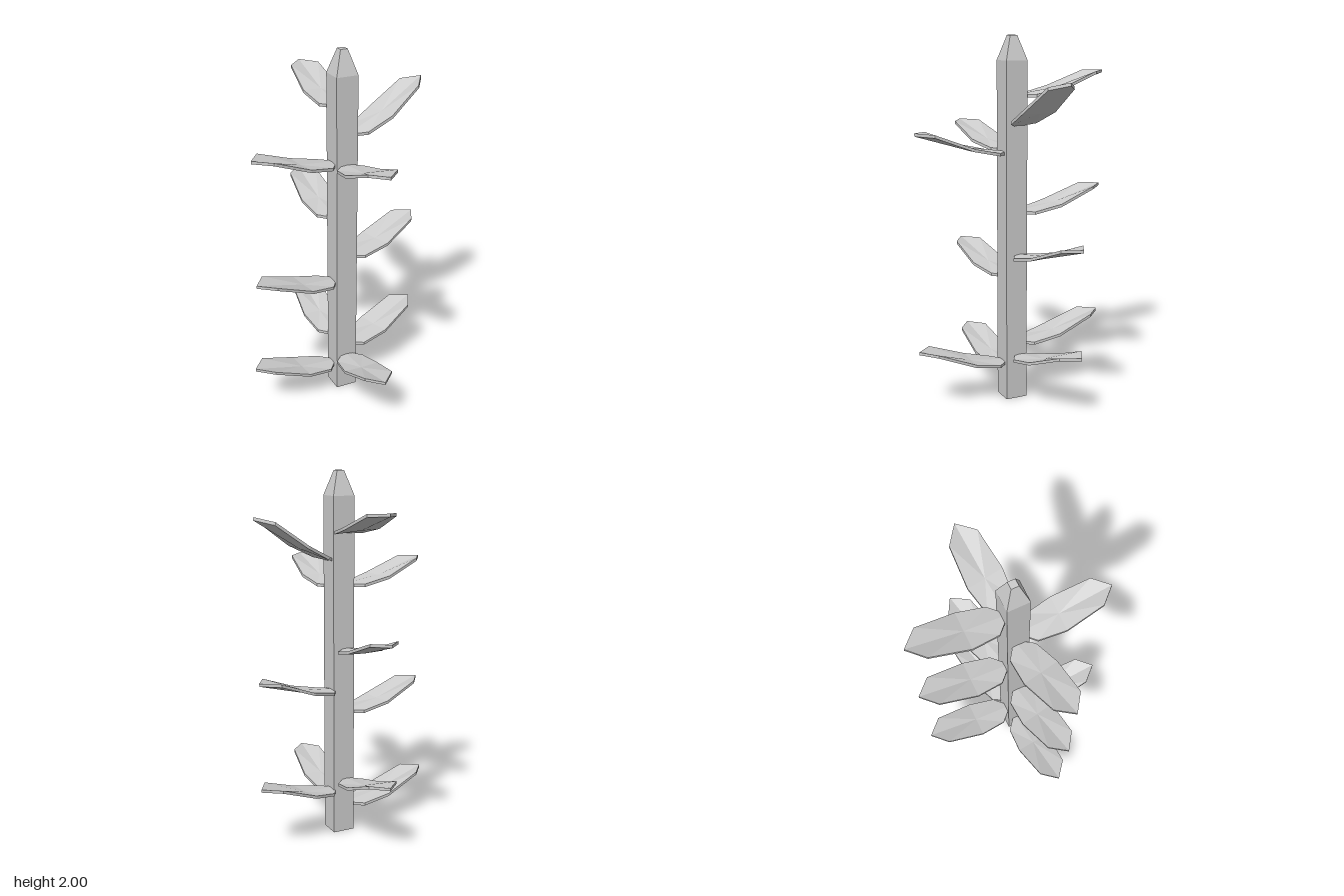
import * as THREE from 'three';

const material = new THREE.MeshStandardMaterial({ color: 0xcccccc, flatShading: true });

// One thin, gently cupped leaf growing along +z, fanned around a midrib point
function leafGeometry() {
  const half = [[0.08, 0.016, 0.105], [0.102, 0.049, 0.255], [0.081, 0.129, 0.465]];
  const rim = [
    [0, 0.013, 0.025], ...half, [0, 0.133, 0.547],
    ...half.slice().reverse().map(([x, y, z]) => [-x, y, z]),
  ];
  const centre = [0, 0.045, 0.255];
  const thickness = 0.016;
  const low = ([x, y, z]) => [x, y - thickness, z];
  const pos = [];
  const tri = (...pts) => pts.forEach((p) => pos.push(...p));
  rim.forEach((a, i) => {
    const b = rim[(i + 1) % rim.length];
    tri(centre, b, a); // top
    tri(low(centre), low(a), low(b)); // underside
    tri(a, b, low(b)); // thin edge
    tri(a, low(b), low(a));
  });
  const g = new THREE.BufferGeometry();
  g.setAttribute('position', new THREE.Float32BufferAttribute(pos, 3));
  g.computeVertexNormals();
  return g;
}

// Square frustum, given half-widths at bottom and top
function squareBlock(name, bottom, top, y0, y1) {
  const g = new THREE.CylinderGeometry(top * Math.SQRT2, bottom * Math.SQRT2, y1 - y0, 4);
  g.rotateY(Math.PI / 4);
  const m = new THREE.Mesh(g, material);
  m.name = name;
  m.position.set(0.0145, (y0 + y1) / 2, 0.004);
  return m;
}

export function createModel() {
  const model = new THREE.Group();
  model.name = 'leafyStem';

  // Square post with a tapered cap
  model.add(squareBlock('stem', 0.061, 0.061, 0, 1.87));
  model.add(squareBlock('stemTip', 0.061, 0.02, 1.87, 2));

  // Leaves: name, root position, heading in degrees from +z toward +x, extra upward tilt
  const leaves = [
    ['frontLeaf', [0.017, 0.2, 0.003], -1.3],
    ['frontLeaf', [0.017, 1.378, 0.003], -1.3],
    ['backLeaf', [-0.006, 0.295, -0.003], 180],
    ['backLeaf', [-0.006, 1.042, -0.003], 180],
    ['backLeaf', [0.013, 1.678, 0.002], 180],
    ['leftLeaf', [0.013, 0.238, 0.003], 105.8],
    ['leftLeaf', [0.013, 0.813, 0.003], 105.8],
    ['leftLeaf', [0.026, 1.52, 0.003], 98.3, 13.7],
    ['rightLeaf', [0.005, 0.136, -0.01], -84],
    ['rightLeaf', [0.013, 0.682, -0.01], -79.8],
    ['rightLeaf', [0.013, 1.386, -0.01], -79.8],
  ];
  const geometry = leafGeometry();
  const rad = THREE.MathUtils.degToRad;
  for (const [name, root, heading, tilt = 0] of leaves) {
    const leaf = new THREE.Mesh(geometry, material);
    leaf.name = name;
    leaf.rotation.set(-rad(tilt), rad(heading), 0, 'YXZ');
    leaf.position.set(...root);
    model.add(leaf);
  }
  return model;
}
